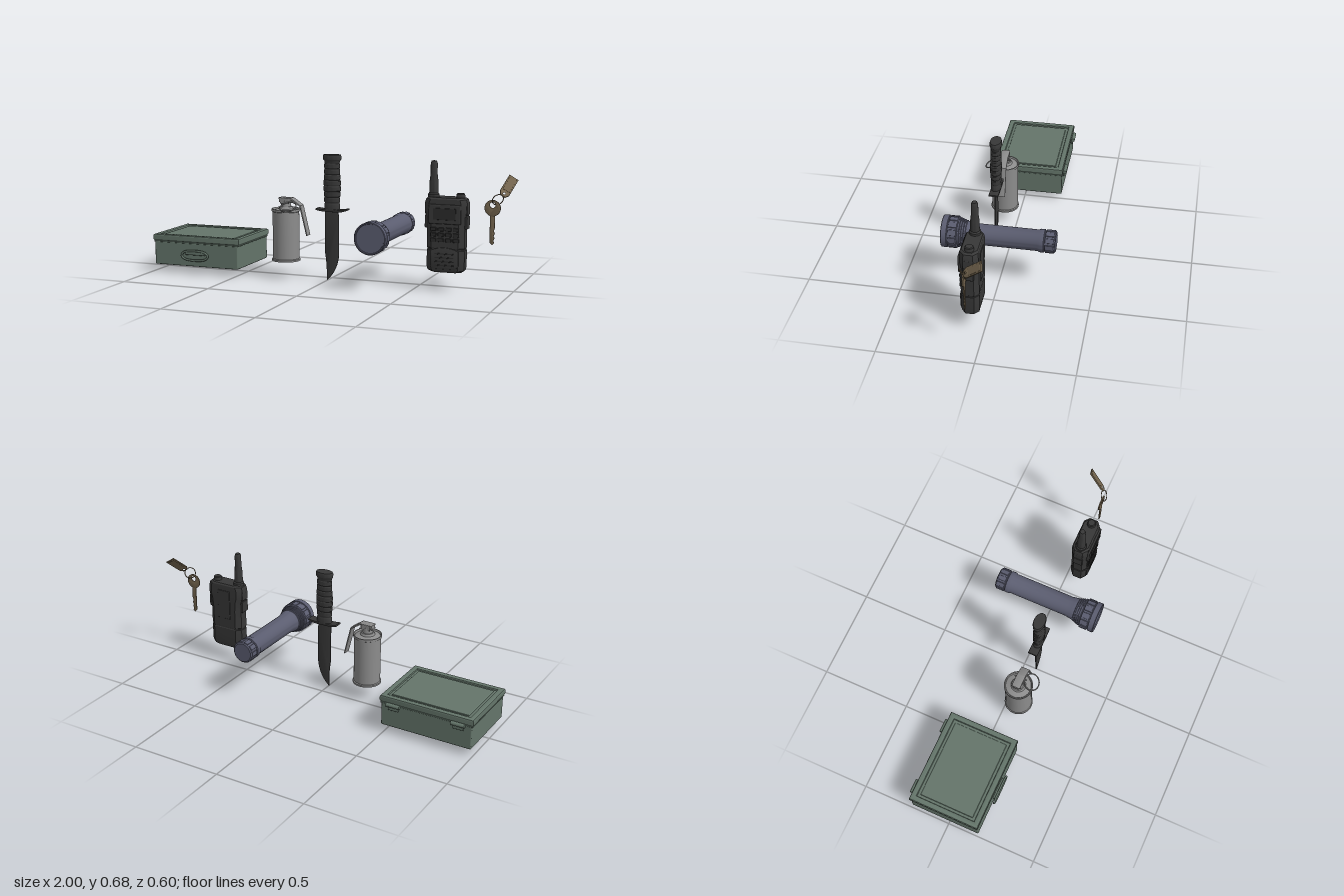
import * as THREE from 'three';
import { toCreasedNormals } from 'three/addons/utils/BufferGeometryUtils.js';
import { RoundedBoxGeometry } from 'three/addons/geometries/RoundedBoxGeometry.js';

const paint = (color) => new THREE.MeshStandardMaterial({ color });
const green = paint(0x64756a), grey = paint(0x8c8c8c), black = paint(0x383838), darker = paint(0x2b2b2b);
const blue = paint(0x5b5d70), brass = paint(0x75664f);
const V = (x, y, z) => new THREE.Vector3(x, y, z);
const V2 = (p) => new THREE.Vector2(p[0], p[1]);

function add(parent, name, geo, mat, x = 0, y = 0, z = 0) {
  const m = new THREE.Mesh(geo, mat);
  m.name = name;
  m.position.set(x, y, z);
  parent.add(m);
  return m;
}
function group(parent, name, x = 0, y = 0, z = 0) {
  const g = new THREE.Group();
  g.name = name;
  g.position.set(x, y, z);
  parent.add(g);
  return g;
}
const box = (w, h, d, r = 0.004) => new RoundedBoxGeometry(w, h, d, 2, r);
const lathe = (pts, n = 40) => toCreasedNormals(new THREE.LatheGeometry(pts.map(V2), n), 0.6);
const poly = (pts) => new THREE.Shape(pts.map(V2));
// Plate centred on z = 0, bevel kept inside the outline
function plate(shape, depth, bevel = 0.002, curveSegments = 16) {
  const g = new THREE.ExtrudeGeometry(shape, { depth: depth - 2 * bevel, bevelEnabled: bevel > 0,
    bevelThickness: bevel, bevelSize: bevel, bevelOffset: -bevel, bevelSegments: 2, curveSegments });
  return toCreasedNormals(g.translate(0, 0, bevel - depth / 2), 0.6);
}
// Stacked chamfered rectangles [y, halfWidth, halfDepth], closed at both ends
function loft(sections, chamfer) {
  const rings = sections.map(([y, w, d]) => {
    const a = w - chamfer, b = d - chamfer * 0.8;
    return [[w, -b], [w, b], [a, d], [-a, d], [-w, b], [-w, -b], [-a, -d], [a, -d]].map(([x, z]) => [x, y, z]);
  });
  const pos = [], tri = (a, b, c) => pos.push(...a, ...b, ...c);
  for (let i = 0; i < rings.length - 1; i++) for (let k = 0; k < 8; k++) {
    const n = (k + 1) % 8, p = rings[i], q = rings[i + 1];
    tri(p[k], q[k], q[n]);
    tri(p[k], q[n], p[n]);
  }
  const lo = rings[0], hi = rings[rings.length - 1];
  for (let k = 1; k < 7; k++) { tri(lo[0], lo[k], lo[k + 1]); tri(hi[0], hi[k + 1], hi[k]); }
  const g = new THREE.BufferGeometry();
  g.setAttribute('position', new THREE.Float32BufferAttribute(pos, 3));
  return toCreasedNormals(g, 0.5);
}
const rect = (P, w, d) => {
  const s = new P();
  s.moveTo(-w, -d); s.lineTo(w, -d); s.lineTo(w, d); s.lineTo(-w, d); s.closePath();
  return s;
};

function storageBox(root) {
  const g = group(root, 'storageBox', -0.738, 0, -0.022);
  add(g, 'boxBody', box(0.508, 0.13, 0.39, 0.006), green, 0, 0.105, 0);
  // Lid rim around a sunken panel
  const rim = rect(THREE.Shape, 0.262, 0.198);
  rim.holes.push(rect(THREE.Path, 0.23, 0.166));
  add(g, 'lidRim', plate(rim, 0.037, 0.009).rotateX(-Math.PI / 2), green, 0, 0.1915, 0);
  add(g, 'lidFloor', new THREE.BoxGeometry(0.49, 0.025, 0.36), green, 0, 0.1875, 0);
  add(g, 'lidPanel', box(0.432, 0.02, 0.304), green, 0, 0.196, 0);
  add(g, 'lidLip', box(0.518, 0.008, 0.393, 0.003), green, 0, 0.17, 0);
  // Front handle
  const loop = new THREE.CatmullRomCurve3([V(-0.06, 0.02, 0), V(0.06, 0.02, 0), V(0.08, 0, 0),
    V(0.06, -0.02, 0), V(-0.06, -0.02, 0), V(-0.08, 0, 0)], true);
  add(g, 'boxHandle', new THREE.TubeGeometry(loop, 48, 0.006, 8, true), green, 0, 0.104, 0.21);
  add(g, 'handlePlate', box(0.12, 0.02, 0.024), green, 0, 0.116, 0.2);
  // Rear hinges
  for (const s of [-1, 1]) {
    const h = group(g, 'hinge', s * 0.182, 0.17, -0.2);
    add(h, 'hingeBarrel', new THREE.CylinderGeometry(0.011, 0.011, 0.075, 16).rotateZ(Math.PI / 2), green, 0, 0, -0.005);
    add(h, 'hingeLeaf', box(0.06, 0.035, 0.008, 0.003), green, 0, -0.013, 0);
  }
}

function canister(root) {
  const g = group(root, 'canister', -0.24, 0, 0.072);
  add(g, 'canisterBody', lathe([[0, 0.1], [0.068, 0.1], [0.07, 0.094], [0.077, 0.094], [0.077, 0.103], [0.072, 0.107],
    [0.072, 0.362], [0.077, 0.365], [0.077, 0.378], [0.072, 0.378], [0.068, 0.369], [0.04, 0.378], [0.034, 0.39], [0, 0.39]]), grey);
  add(g, 'fuseNeck', new THREE.CylinderGeometry(0.025, 0.028, 0.04, 24), grey, 0, 0.4, 0);
  add(g, 'fuseHead', box(0.07, 0.02, 0.035), grey, 0, 0.422, 0);
  // Bent safety lever
  add(g, 'safetyLever', plate(poly([[-0.035, 0.43], [0.035, 0.43], [0.088, 0.395], [0.127, 0.238], [0.133, 0.239],
    [0.094, 0.4], [0.038, 0.438], [-0.035, 0.438]]), 0.046, 0.001), grey);
  for (const s of [-1, 1]) add(g, 'leverEar', box(0.05, 0.03, 0.005, 0.002), grey, 0, 0.422, s * 0.021);
  // Pull ring and pin
  const ring = add(g, 'pullRing', new THREE.TorusGeometry(0.044, 0.0035, 8, 40), grey, 0.038, 0.395, 0.06);
  ring.rotation.x = Math.PI / 2 + 0.5;
  add(g, 'pin', new THREE.CylinderGeometry(0.004, 0.004, 0.07, 10).rotateX(Math.PI / 2), grey, 0.03, 0.415, 0);
}

function knife(root) {
  const g = group(root, 'knife', 0.028, 0, 0.072);
  const s = new THREE.Shape();
  s.moveTo(-0.042, 0.39); s.lineTo(-0.042, 0.16);
  s.quadraticCurveTo(-0.028, 0.08, -0.031, 0);
  s.quadraticCurveTo(0.03, 0.05, 0.04, 0.14);
  s.lineTo(0.04, 0.35); s.lineTo(0.03, 0.39); s.closePath();
  add(g, 'blade', plate(s, 0.007, 0.003), black);
  // Guard with swept ends
  const guard = new THREE.Shape();
  guard.moveTo(-0.086, 0.383); guard.quadraticCurveTo(-0.04, 0.372, 0, 0.376);
  guard.quadraticCurveTo(0.05, 0.37, 0.089, 0.385); guard.lineTo(0.088, 0.393);
  guard.quadraticCurveTo(0.05, 0.385, 0, 0.391);
  guard.quadraticCurveTo(-0.04, 0.385, -0.084, 0.392); guard.closePath();
  add(g, 'guard', plate(guard, 0.052, 0.002), black);
  // Oval grip with grooves
  const prof = [[0, 0.385], [0.044, 0.385], [0.044, 0.415], [0.041, 0.42]];
  for (let i = 0; i < 7; i++) {
    const y = 0.425 + i * 0.03, r = 0.044 + 0.005 * Math.exp(-(((y - 0.5) / 0.05) ** 2));
    prof.push([r - 0.003, y], [r, y + 0.004], [r, y + 0.024], [r - 0.003, y + 0.028]);
  }
  prof.push([0.043, 0.645], [0.05, 0.654], [0.051, 0.672], [0.047, 0.68], [0, 0.68]);
  add(g, 'grip', lathe(prof).scale(1, 1, 0.62), black);
}

function flashlight(root) {
  const g = group(root, 'flashlight', 0.318, 0.28, 0);
  // Profile runs from tail to lens along z
  const prof = [[0, -0.298], [0.052, -0.298], [0.058, -0.293], [0.058, -0.245], [0.054, -0.243], [0.054, -0.24],
    [0.061, -0.237], [0.061, -0.215], [0.056, -0.205], [0.056, 0.125], [0.06, 0.15], [0.064, 0.17]];
  for (let i = 0; i < 4; i++) {
    const z = 0.172 + i * 0.011, r = 0.067 + i * 0.0035;
    prof.push([r, z], [r, z + 0.006], [r - 0.004, z + 0.007], [r - 0.004, z + 0.01]);
  }
  prof.push([0.081, 0.217], [0.081, 0.262], [0.078, 0.264], [0.078, 0.267], [0.085, 0.269], [0.085, 0.297],
    [0.082, 0.3], [0.077, 0.3], [0.075, 0.294], [0, 0.294]);
  add(g, 'flashlightBody', lathe(prof, 48).rotateX(Math.PI / 2), blue);
  // Grip ribs on head and tail cap
  for (const [name, n, r, z, len, w] of [['headRib', 12, 0.08, 0.24, 0.046, 0.032], ['tailRib', 10, 0.057, -0.268, 0.046, 0.026]])
    for (let i = 0; i < n; i++) {
      const a = (i / n) * Math.PI * 2;
      add(g, name, box(0.008, w, len, 0.003), blue, Math.cos(a) * r, Math.sin(a) * r, z).rotation.z = a;
    }
}

function radio(root) {
  const g = group(root, 'radio', 0.662, 0, 0.072);
  add(g, 'radioBody', loft([[0.096, 0.082, 0.036], [0.106, 0.096, 0.044], [0.125, 0.1, 0.047], [0.212, 0.1, 0.047],
    [0.215, 0.097, 0.045], [0.221, 0.097, 0.045], [0.224, 0.1, 0.047], [0.33, 0.1, 0.047], [0.385, 0.105, 0.047],
    [0.41, 0.112, 0.047], [0.455, 0.112, 0.047], [0.476, 0.106, 0.046], [0.484, 0.096, 0.04]], 0.028), black);
  add(g, 'screenFrame', box(0.17, 0.1, 0.018, 0.006), black, 0, 0.4, 0.048);
  add(g, 'screen', box(0.12, 0.06, 0.006, 0.002), darker, 0, 0.402, 0.057);
  // Keypad
  for (let r = 0; r < 3; r++) for (let c = 0; c < 4; c++)
    add(g, 'key', box(0.032, 0.02, 0.012), darker, -0.06 + c * 0.04, 0.322 - r * 0.028, 0.047);
  // Arched speaker panel with slots
  const sp = new THREE.Shape();
  sp.moveTo(-0.06, 0.115); sp.lineTo(0.06, 0.115); sp.lineTo(0.075, 0.135); sp.lineTo(0.075, 0.21);
  sp.quadraticCurveTo(0, 0.245, -0.075, 0.21); sp.lineTo(-0.075, 0.135); sp.closePath();
  add(g, 'speakerPanel', plate(sp, 0.012, 0.003), black, 0, 0, 0.045);
  for (let i = 0; i < 4; i++) add(g, 'speakerSlot', box(0.1, 0.006, 0.004, 0.001), darker, 0, 0.135 + i * 0.02, 0.051);
  // Side buttons
  for (const s of [-1, 1]) for (const [y, h] of [[0.42, 0.05], [0.357, 0.066]])
    add(g, 'sideButton', box(0.014, h, 0.055), black, s * 0.106, y, 0);
  add(g, 'beltClip', box(0.08, 0.17, 0.008, 0.003), black, 0, 0.36, -0.046);
  // Antenna and knob
  add(g, 'antenna', lathe([[0, 0.48], [0.03, 0.48], [0.03, 0.496], [0.024, 0.503], [0.023, 0.56], [0.018, 0.6],
    [0.018, 0.655], [0.013, 0.668], [0, 0.671]], 24), black, -0.073);
  add(g, 'knob', lathe([[0, 0.48], [0.024, 0.48], [0.022, 0.502], [0.018, 0.506], [0, 0.506]], 16), black, 0.07);
}

function keyAndTag(root) {
  const g = group(root, 'keyAndTag');
  // Bow with hole
  const bow = new THREE.Shape();
  bow.absarc(0, 0, 0.042, 0, Math.PI * 2);
  bow.holes.push(new THREE.Path().absarc(0, 0.016, 0.015, 0, Math.PI * 2, true));
  add(g, 'keyBow', plate(bow, 0.007, 0.0015), brass, 0.897, 0.437, 0.064);
  // Toothed shaft
  add(g, 'keyShaft', plate(poly([[-0.013, 0.41], [-0.013, 0.26], [0, 0.246], [0.011, 0.257], [0.006, 0.27], [0.012, 0.282],
    [0.007, 0.294], [0.013, 0.306], [0.008, 0.32], [0.013, 0.335], [0.013, 0.41]]), 0.006, 0.0012), brass, 0.897, 0, 0.064);
  // Split ring
  const ring = add(g, 'splitRing', new THREE.TorusGeometry(0.03, 0.0025, 8, 32), brass, 0.923, 0.482, 0.066);
  ring.rotation.set(0.5, 0.6, 0);
  // Tilted tag
  const tag = group(g, 'tag', 0.962, 0.542, 0.007);
  const up = V(0.26, 0.64, -0.71).normalize(), side = V(0.86, -0.43, -0.28);
  side.addScaledVector(up, -side.dot(up)).normalize();
  tag.setRotationFromMatrix(new THREE.Matrix4().makeBasis(side, up, side.clone().cross(up)));
  const t = poly([[-0.027, 0.066], [0.027, 0.066], [0.027, -0.045], [0.014, -0.066], [-0.014, -0.066], [-0.027, -0.045]]);
  t.holes.push(new THREE.Path().absarc(0, -0.05, 0.008, 0, Math.PI * 2, true));
  add(tag, 'tagPlate', plate(t, 0.008, 0.0015), brass);
  for (const s of [-1, 1]) add(tag, 'tagPanel', box(0.04, 0.088, 0.003, 0.001), brass, 0, 0.014, s * 0.0035);
}

export function createModel() {
  const root = new THREE.Group();
  root.name = 'fieldKit';
  [storageBox, canister, knife, flashlight, radio, keyAndTag].forEach((build) => build(root));
  return root;
}
